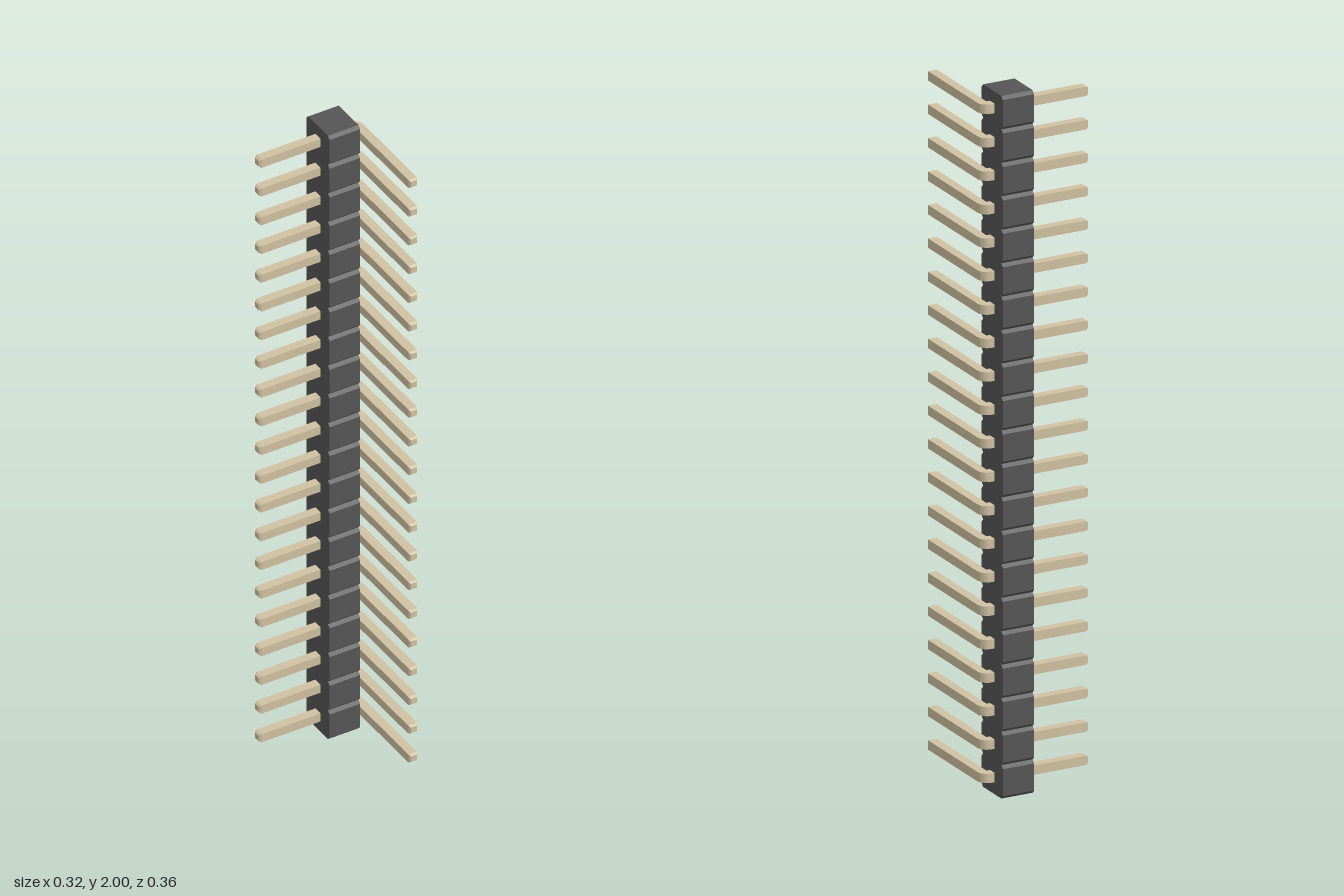
import * as THREE from 'three';
import { toCreasedNormals } from 'three/addons/utils/BufferGeometryUtils.js';

const COUNT = 21, PITCH = 2 / COUNT;
const HALF = 0.0133;                       // half thickness of a square pin
const PIN_X = 0.1475, PIN_Z = -0.121;      // centre lines of the two pin legs

// Notched strip profile (z, y), extruded along x
function housingGeometry() {
  const back = -0.18, front = -0.061, cz = 0.0085, cy = 0.009;
  const pts = [];
  for (let i = 0; i < COUNT; i++) {
    const a = i * PITCH, b = a + PITCH;
    pts.push([front - cz, a], [front, a + cy], [front, b - cy]);
  }
  pts.push([front - cz, 2]);
  for (let i = COUNT - 1; i >= 0; i--) {
    const a = i * PITCH, b = a + PITCH;
    pts.push([back + cz, b], [back, b - cy], [back, a + cy]);
  }
  pts.push([back + cz, 0]);
  const shape = new THREE.Shape(pts.map(([z, y]) => new THREE.Vector2(z, y)));
  const geo = new THREE.ExtrudeGeometry(shape, { depth: 0.095, bevelEnabled: false });
  return geo.rotateY(-Math.PI / 2).translate(0.1235, 0, 0);
}

// Square section swept along an L-shaped path with tapered tips
function pinGeometry() {
  const R = HALF + 0.0015, TIP = 0.0065, TIP_HALF = HALF * 0.68;
  const sections = [                       // x, z, heading angle, half size
    [-0.162, PIN_Z, 0, TIP_HALF],
    [-0.162 + TIP, PIN_Z, 0, HALF],
  ];
  for (let i = 0; i <= 6; i++) {
    const a = (i / 6) * Math.PI / 2;
    sections.push([PIN_X - R + R * Math.sin(a), PIN_Z + R - R * Math.cos(a), a, HALF]);
  }
  sections.push([PIN_X, 0.178 - TIP, Math.PI / 2, HALF], [PIN_X, 0.178, Math.PI / 2, TIP_HALF]);

  const pos = [], index = [];
  const corners = [[1, 1], [-1, 1], [-1, -1], [1, -1]];
  for (const [x, z, a, h] of sections)
    for (const [s, u] of corners)
      pos.push(x + s * h * Math.sin(a), u * h, z - s * h * Math.cos(a));
  for (let i = 0; i < sections.length - 1; i++)
    for (let j = 0; j < 4; j++) {
      const a = i * 4 + j, b = i * 4 + (j + 1) % 4;
      index.push(a, b, b + 4, a, b + 4, a + 4);
    }
  const e = (sections.length - 1) * 4;
  index.push(0, 2, 1, 0, 3, 2, e, e + 1, e + 2, e, e + 2, e + 3);
  const geo = new THREE.BufferGeometry();
  geo.setAttribute('position', new THREE.Float32BufferAttribute(pos, 3));
  geo.setIndex(index);
  return toCreasedNormals(geo, 0.45);
}

export function createModel() {
  const model = new THREE.Group();
  model.name = 'rightAnglePinHeader';

  const housing = new THREE.Mesh(housingGeometry(), new THREE.MeshStandardMaterial({ color: 0x555555 }));
  housing.name = 'housing';
  model.add(housing);

  // Row of bent pins, one per housing segment
  const pins = new THREE.Group();
  pins.name = 'pins';
  const geo = pinGeometry();
  const metal = new THREE.MeshStandardMaterial({ color: 0xcfc0a0 });
  for (let i = 0; i < COUNT; i++) {
    const pin = new THREE.Mesh(geo, metal);
    pin.name = `pin${i + 1}`;
    pin.position.y = (i + 0.5) * PITCH;
    pins.add(pin);
  }
  model.add(pins);
  return model;
}
